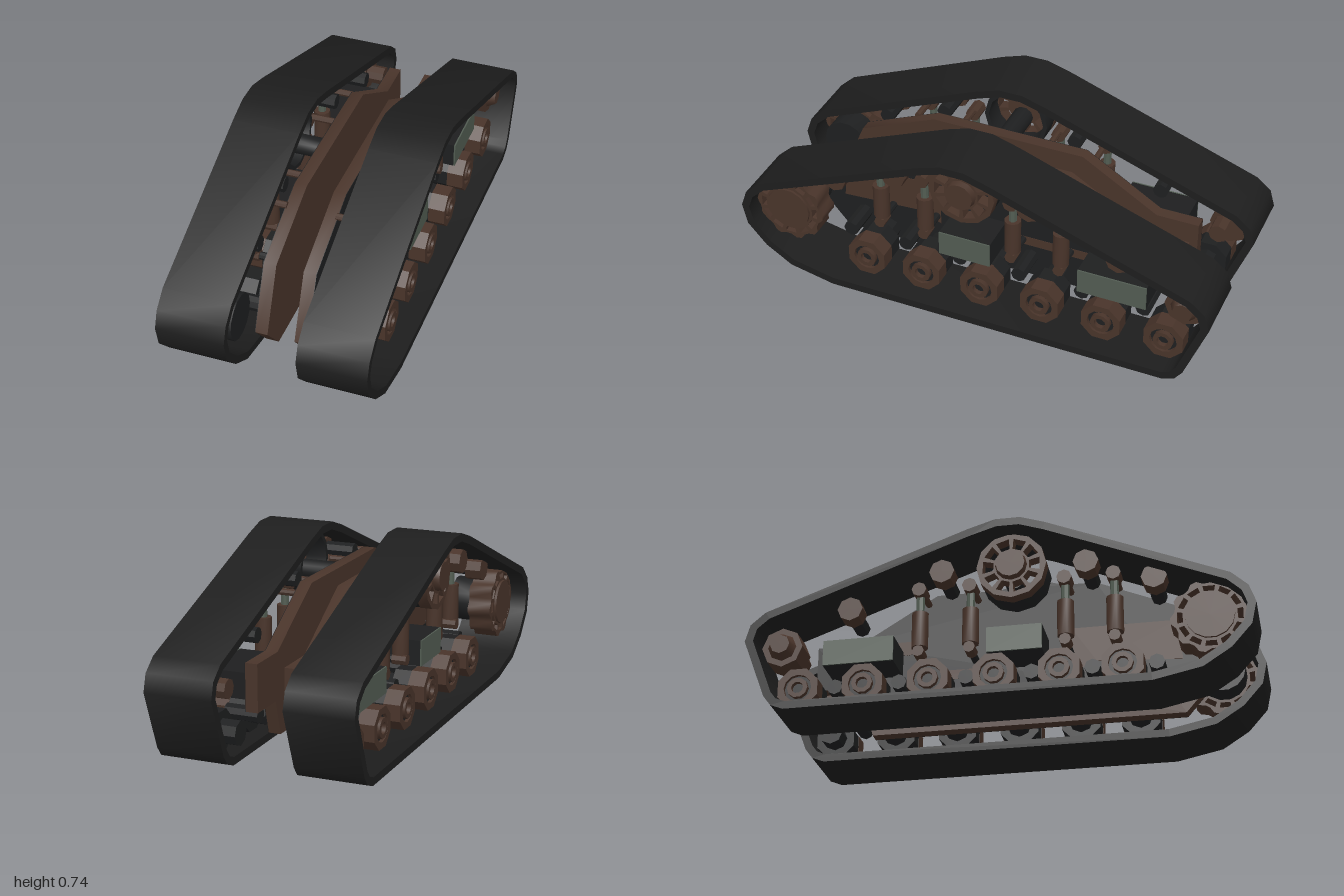
import * as THREE from 'three';
import { toCreasedNormals } from 'three/addons/utils/BufferGeometryUtils.js';

const mat = (name, color) => {
  const m = new THREE.MeshStandardMaterial({ color });
  m.name = name;
  return m;
};

export function createModel() {
  const model = new THREE.Group();
  model.name = 'trackedUndercarriage';
  const rubber = mat('track black', 0x1e1e1e);
  const dark = mat('dark metal', 0x1e1f20);
  const brown = mat('rust brown', 0x49342a);
  const grey = mat('grey green', 0x525c52);

  // s is +1 for the left track unit and -1 for the right one
  function buildSide(s) {
    const side = new THREE.Group();
    side.name = s > 0 ? 'leftTrackUnit' : 'rightTrackUnit';
    const add = (name, geo, material, x = 0, y = 0, z = 0) => {
      const m = new THREE.Mesh(toCreasedNormals(geo, 0.78), material);
      m.name = name;
      m.position.set(s * x, y, z);
      side.add(m);
      return m;
    };

    // Profiles are lists of [z, y], extruded sideways from x0 to x1; holes wind the other way
    const flip = (pts) => pts.map(([z, y]) => new THREE.Vector2(-z, y));
    const slab = (name, pts, holes, x0, x1, material, y = 0, z = 0) => {
      const shape = new THREE.Shape(flip(pts));
      holes.forEach((h) => shape.holes.push(new THREE.Path(flip(h).reverse())));
      const geo = new THREE.ExtrudeGeometry(shape, { depth: x1 - x0, bevelEnabled: false });
      geo.translate(0, 0, -(x1 - x0) / 2).rotateY(Math.PI / 2);
      return add(name, geo, material, (x0 + x1) / 2, y, z);
    };

    // Cylinder lying along x; r1 is the radius at the outer end
    const drum = (name, y, z, x0, x1, r, material, sides = 10, r1 = r) => {
      const geo = new THREE.CylinderGeometry(r1, r, x1 - x0, sides);
      geo.rotateZ((-s * Math.PI) / 2);
      return add(name, geo, material, (x0 + x1) / 2, y, z);
    };

    const circle = (r, n, turn = 0) => Array.from({ length: n }, (_, i) => {
      const a = turn + (i / n) * Math.PI * 2;
      return [r * Math.cos(a), r * Math.sin(a)];
    });

    // Ring of windows between spokes
    const windows = (n, r0, r1, fill) => Array.from({ length: n }, (_, i) => {
      const a = (i / n) * Math.PI * 2, h = (Math.PI / n) * fill;
      return [[r0, -h], [r1, -h], [r1, h], [r0, h]].map(
        ([r, d]) => [r * Math.cos(a + d), r * Math.sin(a + d)]);
    });

    // Track belt: the inner outline is the outer one moved inwards
    const outer = [[1, 0.29], [0.975, 0.36], [0.91, 0.42], [0.2, 0.71], [0.1, 0.743], [0, 0.743],
      [-0.11, 0.71], [-0.92, 0.42], [-0.98, 0.37], [-1, 0.3], [-0.91, 0.06], [-0.88, 0.02],
      [-0.83, 0], [0.6, 0], [0.79, 0.04], [0.9, 0.11], [0.98, 0.2]];
    const inner = outer.map((p, i) => {
      const n = outer.length, a = outer[(i + n - 1) % n], b = outer[(i + 1) % n];
      const u = new THREE.Vector2(p[0] - a[0], p[1] - a[1]).normalize();
      const v = new THREE.Vector2(b[0] - p[0], b[1] - p[1]).normalize();
      const k = 0.032 / (1 + u.dot(v));
      return [p[0] - (u.y + v.y) * k, p[1] + (u.x + v.x) * k];
    });
    slab('trackBelt', outer, [inner], 0.142, 0.42, rubber);

    // Side frame with dark cladding and bare panels on its outer face
    const frame = [[0.79, 0.19], [0.68, 0.45], [0.35, 0.588], [-0.3, 0.588], [-0.62, 0.395],
      [-0.795, 0.395], [-0.795, 0.205], [-0.64, 0.205], [-0.6, 0.062], [0.68, 0.062]];
    slab('sideFrame', frame, [], 0.055, 0.105, brown);
    slab('frameCladding', frame, [], 0.105, 0.107, dark);
    [
      [[0.69, 0.22], [0.67, 0.39], [0.25, 0.39], [0.25, 0.2], [0.35, 0.24]],
      [[-0.05, 0.21], [-0.07, 0.25], [-0.41, 0.25], [-0.42, 0.21]],
      [[-0.37, 0.34], [-0.37, 0.39], [-0.54, 0.39], [-0.55, 0.36], [-0.42, 0.33]],
    ].forEach((p) => slab('barePanel', p.reverse(), [], 0.107, 0.109, brown));

    // Road wheels
    [0.48, 0.235, -0.02, -0.28, -0.54, -0.8].forEach((z) => {
      drum('roadWheelAxle', 0.12, z, 0.125, 0.2, 0.05, dark, 8);
      slab('roadWheelTyre', circle(0.085, 8, Math.PI / 8), [], 0.2, 0.27, dark, 0.12, z);
      slab('roadWheel', circle(0.087, 8, Math.PI / 8), [circle(0.056, 12)], 0.27, 0.34, brown, 0.12, z);
      drum('roadWheelDish', 0.12, z, 0.27, 0.325, 0.057, dark, 12);
      slab('roadWheelHub', circle(0.042, 10), [circle(0.024, 10)], 0.32, 0.345, brown, 0.12, z);
    });

    // Suspension pins between the wheels
    [0.6, 0.35, 0.11, -0.15, -0.42, -0.68].forEach((z) =>
      drum('suspensionPin', 0.158, z, 0.1, 0.24, 0.032, dark, 8));

    // Return rollers under the upper run
    [[0.61, 0.475], [0.345, 0.567], [-0.23, 0.577], [-0.6, 0.445]].forEach(([z, y]) => {
      drum('returnRollerAxle', y, z, 0.145, 0.27, 0.032, dark, 8);
      drum('returnRoller', y, z, 0.27, 0.34, 0.051, brown, 8);
    });

    // Toothed drive sprocket
    const teeth = Array.from({ length: 40 }, (_, i) => {
      const a = (i / 40) * Math.PI * 2, r = i % 4 < 2 ? 0.153 : 0.138;
      return [r * Math.cos(a), r * Math.sin(a)];
    });
    slab('driveSprocket', teeth, windows(12, 0.106, 0.128, 0.72), 0.25, 0.35, brown, 0.28, 0.82);
    drum('sprocketHub', 0.28, 0.82, 0.15, 0.25, 0.095, dark, 14);
    drum('sprocketCap', 0.28, 0.82, 0.34, 0.36, 0.095, brown, 14);

    // Large spoked wheel at the peak
    drum('peakWheelAxle', 0.545, 0.05, 0.1, 0.28, 0.043, dark, 10);
    slab('peakWheelTread', circle(0.138, 12), [circle(0.12, 12)], 0.2, 0.29, dark, 0.575, 0.05);
    slab('peakWheel', circle(0.14, 12), windows(10, 0.073, 0.117, 0.74), 0.29, 0.34, brown, 0.575, 0.05);
    drum('peakWheelHub', 0.575, 0.05, 0.33, 0.365, 0.066, brown, 12, 0.058);

    // Rear idler
    drum('idlerAxle', 0.305, -0.85, 0.145, 0.22, 0.04, brown, 8);
    drum('idler', 0.305, -0.875, 0.22, 0.33, 0.083, brown, 8);
    drum('idlerCap', 0.305, -0.875, 0.33, 0.365, 0.058, brown, 8, 0.04);

    // Shock absorbers
    [0.445, 0.25, -0.13, -0.335].forEach((z) => {
      const x = 0.25;
      add('shockBody', new THREE.CylinderGeometry(0.034, 0.034, 0.15, 10), brown, x, 0.365, z);
      add('shockRod', new THREE.CylinderGeometry(0.017, 0.017, 0.12, 8), grey, x, 0.48, z);
      drum('shockTopEye', 0.535, z, x - 0.035, x + 0.035, 0.03, brown, 8);
      drum('shockTopPin', 0.55, z, 0.1, x - 0.03, 0.014, brown, 8);
      drum('shockLowerEye', 0.267, z, x - 0.03, x + 0.03, 0.024, brown, 8);
      drum('shockLowerPin', 0.267, z, 0.145, x - 0.025, 0.016, dark, 8);
    });

    // Equipment boxes with a pale outer panel
    [[0.055, 0.22], [-0.57, 0.285]].forEach(([z, len]) => {
      add('equipmentBox', new THREE.BoxGeometry(0.16, 0.105, len), dark, 0.225, 0.275, z);
      add('equipmentBoxPanel', new THREE.BoxGeometry(0.006, 0.105, len), grey, 0.308, 0.275, z);
    });
    return side;
  }

  model.add(buildSide(1), buildSide(-1));
  return model;
}
